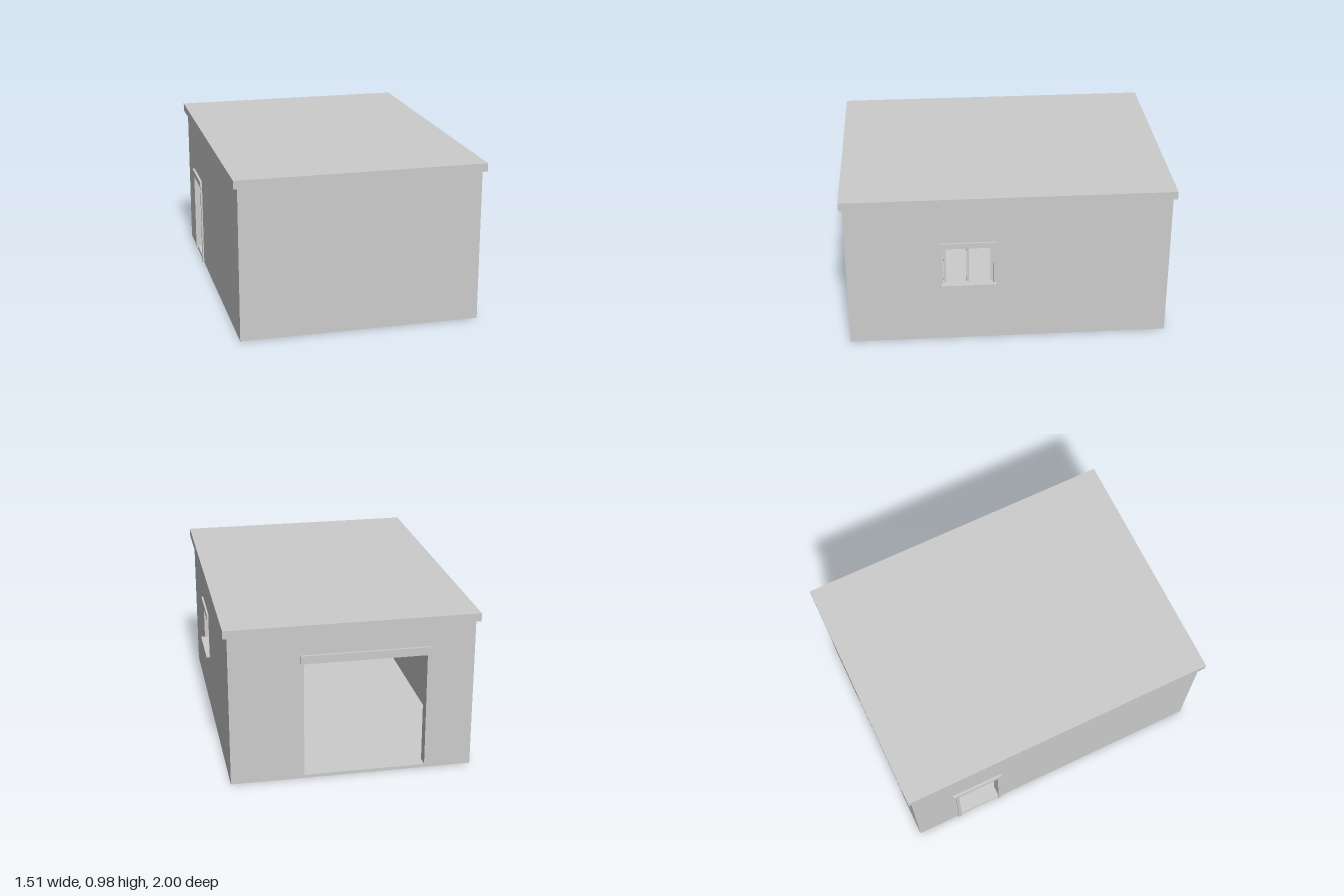
import * as THREE from 'three';

const W = 0.73, D = 0.98, T = 0.07;   // half width, half depth, wall thickness
const FLOOR = 0.02, EAVES = 0.93;

export function createModel() {
  const group = new THREE.Group();
  group.name = 'garage';
  const plaster = new THREE.MeshStandardMaterial({ color: 0xcccccc });
  plaster.name = 'light grey';

  // box given by its minimum and maximum corners
  function box(name, x0, x1, y0, y1, z0, z1) {
    const mesh = new THREE.Mesh(new THREE.BoxGeometry(x1 - x0, y1 - y0, z1 - z0), plaster);
    mesh.position.set((x0 + x1) / 2, (y0 + y1) / 2, (z0 + z1) / 2);
    mesh.name = name;
    group.add(mesh);
  }

  // wall slab from an outline, extruded by the wall thickness along +z
  function wall(name, points, hole) {
    const toPath = (P, pts) => new P(pts.map(([a, b]) => new THREE.Vector2(a, b)));
    const shape = toPath(THREE.Shape, points);
    if (hole) shape.holes.push(toPath(THREE.Path, hole));
    const mesh = new THREE.Mesh(
      new THREE.ExtrudeGeometry(shape, { depth: T, bevelEnabled: false }), plaster);
    mesh.name = name;
    group.add(mesh);
    return mesh;
  }

  // outline with a doorway cut up from the floor between a and b
  const outline = (half, a, b, top) => [
    [-half, FLOOR], [a, FLOOR], [a, top], [b, top], [b, FLOOR],
    [half, FLOOR], [half, EAVES], [-half, EAVES]];

  // floor and flat roof
  box('floorSlab', -W, W, 0, FLOOR, -D, D);
  box('roofSlab', -0.755, 0.755, EAVES, 0.98, -1, 1);

  // front wall, closed
  box('frontWall', -W, W, FLOOR, EAVES, D - T, D);

  // back wall with the vehicle opening and its lintel
  wall('backWall', outline(W, -0.445, 0.29, 0.74)).position.z = -D;
  box('vehicleLintel', -0.46, 0.31, 0.74, 0.79, -0.995, -D);

  // side walls: the outline's first axis runs along -z after turning
  const S = D - T;
  const leftWall = wall('windowWall',
    [[-S, FLOOR], [S, FLOOR], [S, EAVES], [-S, EAVES]],
    [[-0.4, 0.385], [-0.4, 0.64], [-0.095, 0.64], [-0.095, 0.385]]);
  leftWall.rotation.y = Math.PI / 2;
  leftWall.position.x = W - T;
  const rightWall = wall('doorWall', outline(S, 0.405, 0.685, 0.54));
  rightWall.rotation.y = Math.PI / 2;
  rightWall.position.x = -W;

  // window lintel, sill and uprights
  box('windowLintel', W, 0.742, 0.64, 0.675, 0.07, 0.425);
  box('windowSill', W - T, 0.755, 0.375, 0.39, 0.075, 0.415);
  for (const z of [0.095, 0.24, 0.38])
    box('windowUpright', 0.688, 0.703, 0.39, 0.64, z, z + 0.015);

  // side door trim and lintel
  for (const z of [-0.7, -0.41])
    box('doorTrim', -0.74, -W, 0, 0.54, z, z + 0.02);
  box('doorLintel', -0.745, -W, 0.54, 0.577, -0.72, -0.385);

  return group;
}
